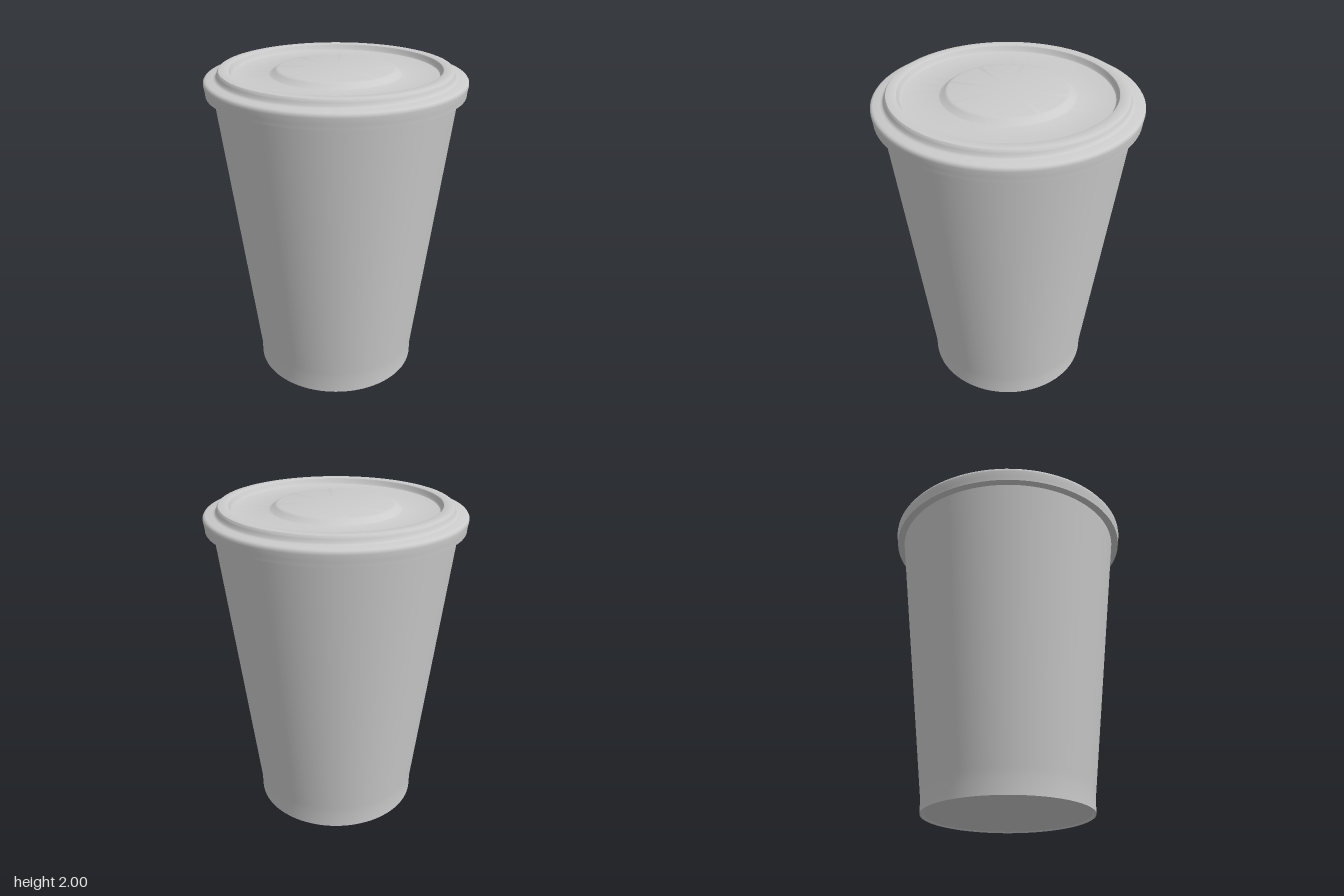
import * as THREE from 'three';
import { toCreasedNormals } from 'three/addons/utils/BufferGeometryUtils.js';

const SEGMENTS = 96;

// Revolve a [radius, height] profile, keeping sharp corners crisp
function revolve(name, profile) {
  const points = profile.map(([r, y]) => new THREE.Vector2(r, y));
  const geometry = toCreasedNormals(new THREE.LatheGeometry(points, SEGMENTS), 0.6);
  const material = new THREE.MeshStandardMaterial({ color: 0xcccccc, side: THREE.DoubleSide });
  const mesh = new THREE.Mesh(geometry, material);
  mesh.name = name;
  return mesh;
}

export function createModel() {
  const group = new THREE.Group();
  group.name = 'lidded cup';

  // Tapered cup with a short straight foot and flat base
  group.add(revolve('cupBody', [
    [0, 0.006], [0.5, 0.006], [0.505, 0], [0.52, 0],
    [0.521, 0.09], [0.528, 0.15], [0.727, 1.88],
  ]));

  // Lid: skirt, rounded shoulder, raised ring, recessed floor and central bump
  group.add(revolve('lid', [
    [0.72, 1.862], [0.77, 1.862],
    [0.772, 1.89], [0.778, 1.925], [0.777, 1.938], [0.771, 1.947], [0.76, 1.952],
    [0.72, 1.954], [0.709, 1.957], [0.702, 1.964], [0.697, 1.98],
    [0.693, 1.991], [0.687, 1.998], [0.678, 2],
    [0.635, 2], [0.628, 1.997], [0.623, 1.989], [0.617, 1.971], [0.61, 1.963],
    [0.6, 1.961], [0.395, 1.961], [0.385, 1.964], [0.36, 1.985], [0.35, 1.991],
    [0.34, 1.993], [0, 1.993],
  ]));

  return group;
}
